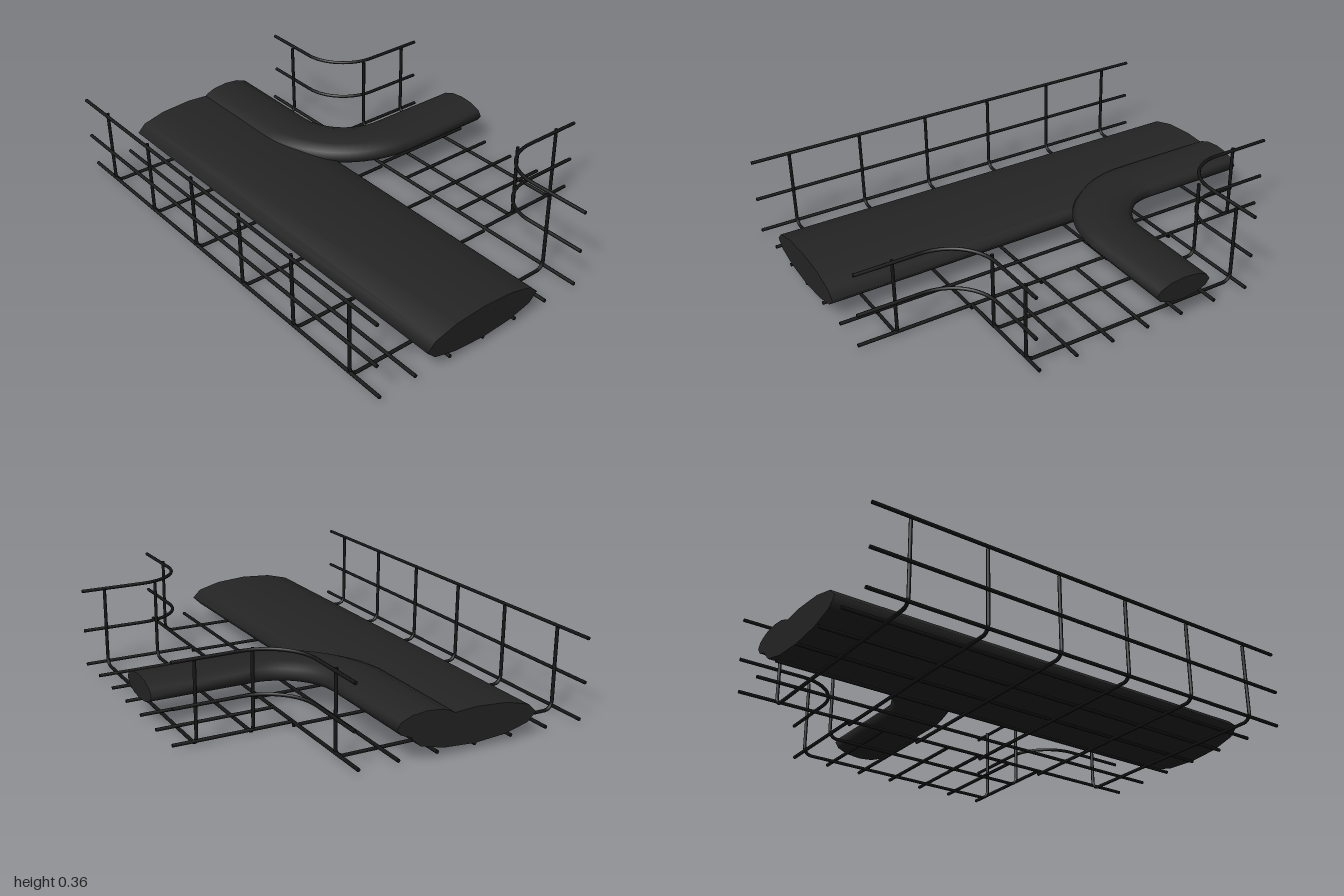
import * as THREE from 'three';

const V = (x, y, z) => new THREE.Vector3(x, y, z);
const X = V(1, 0, 0), Y = V(0, 1, 0), Z = V(0, 0, 1);
const wireMat = new THREE.MeshStandardMaterial({ color: 0x151515 });
const cableMat = new THREE.MeshStandardMaterial({ color: 0x242424 });
const R = 0.0075;                       // wire radius
const LOW = 0.008, BED = 0.025;         // heights of the two bottom wire layers
const TOP = 0.355, MID = 0.175;         // side rail heights
const ZC = 0.24, HALF = 0.5;            // tray centre line and half width

// Polyline whose right-angle corners are replaced by arcs of radius r
function rounded(pts, r, n) {
  const out = [pts[0]];
  for (let i = 1; i < pts.length - 1; i++) {
    const p = pts[i];
    const u = pts[i - 1].clone().sub(p).normalize();
    const v = pts[i + 1].clone().sub(p).normalize();
    const c = p.clone().addScaledVector(u, r).addScaledVector(v, r);
    for (let k = 0; k <= n; k++) {
      const a = (k / n) * Math.PI / 2;
      out.push(c.clone().addScaledVector(v, -r * Math.cos(a)).addScaledVector(u, -r * Math.sin(a)));
    }
  }
  out.push(pts[pts.length - 1]);
  return out;
}

// Sweep a capped ellipse (a across, b along the plane normal) along a flat path
function sweep(path, normal, a, b, sides) {
  const pos = [], idx = [], last = path.length - 1;
  const ring = (i) => {
    const t = path[Math.min(i + 1, last)].clone().sub(path[Math.max(i - 1, 0)]).normalize();
    const side = normal.clone().cross(t);
    for (let k = 0; k < sides; k++) {
      const w = (k / sides) * Math.PI * 2;
      const p = path[i].clone().addScaledVector(side, a * Math.cos(w)).addScaledVector(normal, b * Math.sin(w));
      pos.push(p.x, p.y, p.z);
    }
  };
  for (let i = 0; i <= last; i++) ring(i);
  for (let i = 0; i < last; i++) {
    for (let k = 0; k < sides; k++) {
      const p = i * sides + k, q = i * sides + (k + 1) % sides;
      idx.push(p, q, p + sides, q, q + sides, p + sides);
    }
  }
  // separate end rings keep the caps flat
  const s = pos.length / 3, e = s + sides;
  ring(0);
  ring(last);
  for (let k = 1; k < sides - 1; k++) idx.push(s, s + k + 1, s + k, e, e + k, e + k + 1);
  const g = new THREE.BufferGeometry();
  g.setAttribute('position', new THREE.Float32BufferAttribute(pos, 3));
  g.setIndex(idx);
  g.computeVertexNormals();
  return g;
}

export function createModel() {
  const model = new THREE.Group();
  const add = (name, geo, mat) => {
    const m = new THREE.Mesh(geo, mat);
    m.name = name;
    model.add(m);
  };
  const wire = (name, path, normal) => add(name, sweep(path, normal, R, R, 8), wireMat);

  // Main tray: lengthwise bed wires and front rails
  for (let i = -3; i <= 3; i++) {
    const z = ZC + i * HALF / 3;
    wire('bedWire', [V(-1, BED, z), V(1, BED, z)], Y);
  }
  for (const y of [MID, TOP]) wire('frontRail', [V(-1, y, 0.754), V(1, y, 0.754)], Y);

  // Main tray: cross wires, with a back upright only outside the branch opening
  const front = ZC + HALF, back = ZC - HALF;
  for (const x of [-5, -3, -1, 1, 3, 5].map((n) => n / 6)) {
    const pts = [V(x, TOP, front), V(x, LOW, front), V(x, LOW, back)];
    if (Math.abs(x) > 0.6) pts.push(V(x, TOP, back));
    wire('crossWire', rounded(pts, 0.035, 5), X);
  }

  // Branch tray: bed wires and U-shaped cross wires
  for (let i = -3; i <= 3; i++) {
    const x = i * HALF / 3;
    wire('branchBedWire', [V(x, BED, back), V(x, BED, -0.762)], Y);
  }
  for (const z of [-0.43, -0.665]) {
    const pts = [V(-HALF, TOP, z), V(-HALF, LOW, z), V(HALF, LOW, z), V(HALF, TOP, z)];
    wire('branchCrossWire', rounded(pts, 0.035, 5), Z);
  }

  // Curved rails joining the main tray to the branch
  for (const s of [-1, 1]) {
    for (const y of [MID, TOP]) {
      const pts = [V(s, y, -0.278), V(s * 0.514, y, -0.278), V(s * 0.514, y, -0.762)];
      wire('cornerRail', rounded(pts, 0.21, 16), Y);
    }
  }

  // Flattened cable bundles
  add('mainCable', sweep([V(-1, 0.1, ZC), V(1, 0.1, ZC)], Y, 0.28, 0.073, 12), cableMat);
  const bend = rounded([V(-1, 0.147, 0.026), V(-0.168, 0.147, 0.026), V(-0.168, 0.147, -0.762)], 0.35, 20);
  add('branchCable', sweep(bend, Y, 0.13, 0.05, 12), cableMat);

  return model;
}
